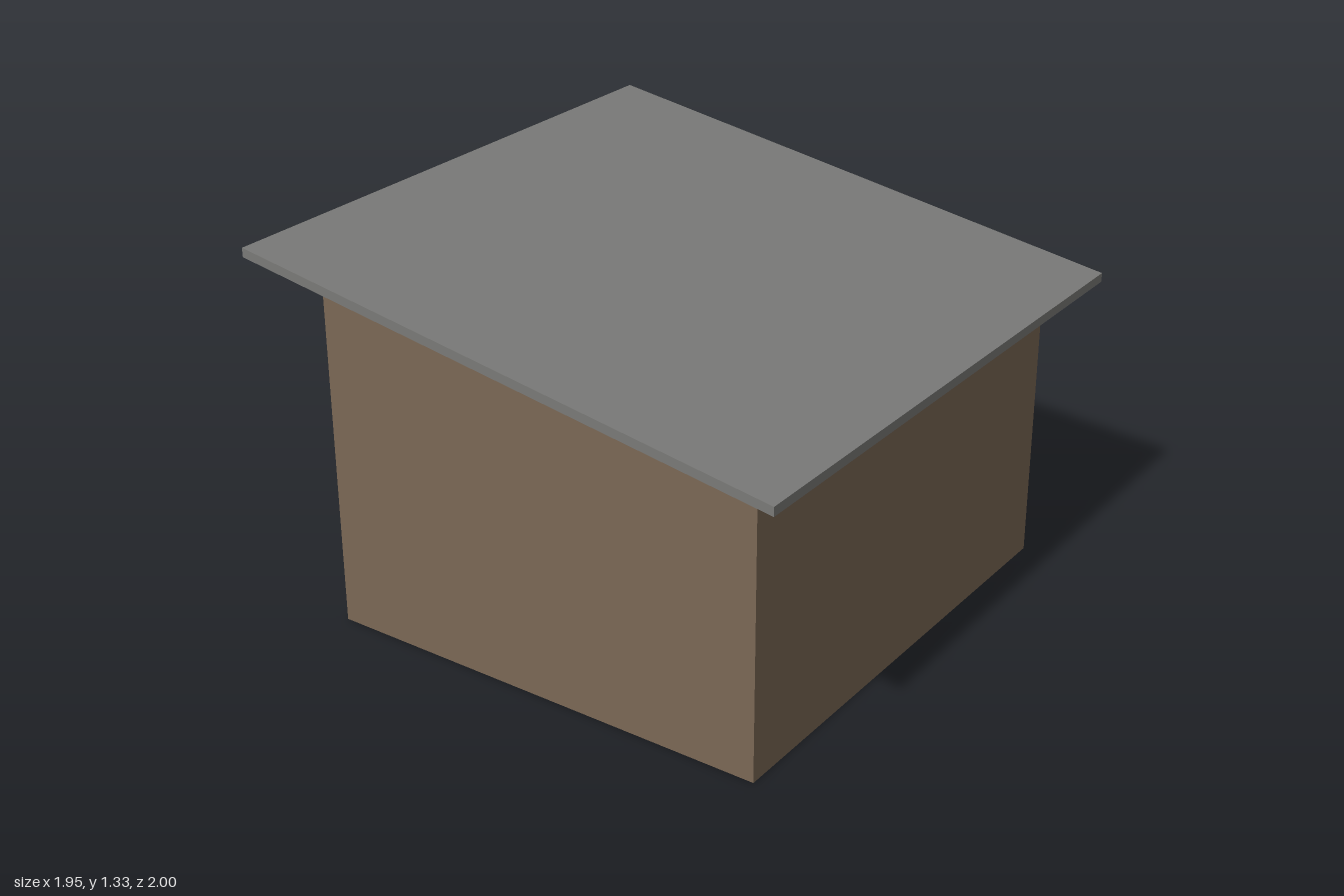
import * as THREE from 'three';

// Colours
const paleGrey = new THREE.MeshStandardMaterial({ name: 'paleGrey', color: 0xd4d4d4 });
const wood = new THREE.MeshStandardMaterial({ name: 'woodBrown', color: 0x7b6855 });
const roofGrey = new THREE.MeshStandardMaterial({ name: 'roofGrey', color: 0x7a7a78 });
const seamDark = new THREE.MeshStandardMaterial({ name: 'seamDark', color: 0x352c24 });
const doorDark = new THREE.MeshStandardMaterial({ name: 'doorDark', color: 0x3b352c });

// Main dimensions
const X0 = -0.786, X1 = 0.832, HALF_Z = 0.86, LOW = 1.0, HIGH = 1.24;

function add(group, name, geometry, material, x = 0, y = 0, z = 0) {
  const mesh = new THREE.Mesh(geometry, material);
  mesh.name = name;
  mesh.position.set(x, y, z);
  group.add(mesh);
  return mesh;
}

// Extrudes an x/y outline along z, starting at z = 0
function prism(points, depth) {
  const shape = new THREE.Shape(points.map(([x, y]) => new THREE.Vector2(x, y)));
  return new THREE.ExtrudeGeometry(shape, { depth, bevelEnabled: false });
}

export function createModel() {
  const shed = new THREE.Group();
  shed.name = 'shed';

  // Wooden walls with a pale core lying flush with them
  add(shed, 'walls', new THREE.BoxGeometry(X1 - X0, LOW, HALF_Z * 2), wood, (X0 + X1) / 2, LOW / 2, 0);
  const core = prism([[X0, 0], [X1, 0], [X1, LOW], [X0, LOW]], HALF_Z * 2);
  add(shed, 'core', core, paleGrey, 0, 0, -HALF_Z);

  // Thin triangular gables, open towards the high side
  const gable = prism([[X0, LOW], [X1, LOW], [X0, HIGH]], 0.008);
  add(shed, 'frontGable', gable, wood, 0, 0, HALF_Z - 0.008);
  add(shed, 'backGable', gable, wood, 0, 0, -HALF_Z);

  // Sloping roof slab with vertical edges, floating just above the gables
  const roof = prism([[-0.976, 1.297], [0.976, 1.001], [0.976, 1.032], [-0.976, 1.328]], 2);
  add(shed, 'roof', roof, roofGrey, 0, 0, -1);

  // Dark seams between the boards of the door wall
  const boards = 9;
  const seam = new THREE.BoxGeometry(0.008, LOW, 0.018);
  for (let i = 1; i < boards; i++) {
    add(shed, 'boardSeam', seam, seamDark, X0 - 0.001, LOW / 2, -HALF_Z + (i * HALF_Z * 2) / boards);
  }

  // Door plate
  add(shed, 'door', new THREE.BoxGeometry(0.018, 0.86, 0.54), doorDark, X0 - 0.007, 0.45, -0.16);

  return shed;
}
